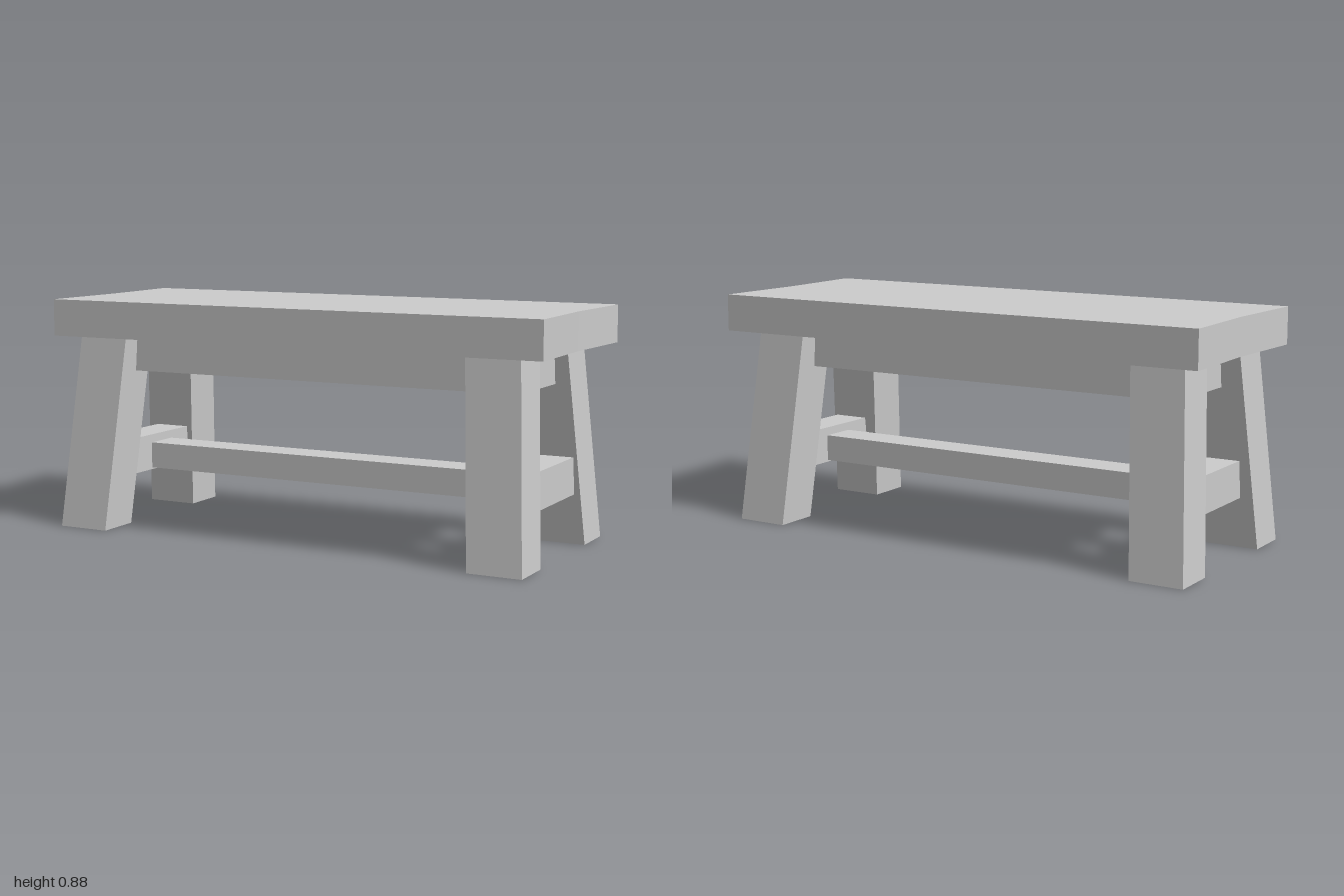
import * as THREE from 'three';

const material = new THREE.MeshStandardMaterial({ color: 0xcccccc, flatShading: true });

function addMesh(group, name, geometry) {
  const mesh = new THREE.Mesh(geometry, material);
  mesh.name = name;
  group.add(mesh);
  return mesh;
}

// Box given by its lower and upper bounds on each axis
function addBox(group, name, [x0, x1], [y0, y1], [z0, z1]) {
  const geometry = new THREE.BoxGeometry(x1 - x0, y1 - y0, z1 - z0);
  geometry.translate((x0 + x1) / 2, (y0 + y1) / 2, (z0 + z1) / 2);
  return addMesh(group, name, geometry);
}

const SEAT_BOTTOM = 0.74;
const SEAT_TOP = 0.88;

// Plank whose two ends are notched slightly inward at the middle
function seatGeometry() {
  const outline = [[-1, -0.38], [1, -0.38], [0.985, 0], [1, 0.38], [-1, 0.38], [-0.985, 0]];
  const shape = new THREE.Shape(outline.map(([x, z]) => new THREE.Vector2(x, z)));
  const geometry = new THREE.ExtrudeGeometry(shape, { depth: SEAT_TOP - SEAT_BOTTOM, bevelEnabled: false });
  geometry.rotateX(-Math.PI / 2);
  geometry.translate(0, SEAT_BOTTOM, 0);
  return geometry;
}

// Square leg sheared inward towards the seat, with level ends
function legGeometry(footX, sideX, sideZ) {
  const geometry = new THREE.BoxGeometry(0.205, SEAT_BOTTOM, 0.174);
  geometry.translate(footX, SEAT_BOTTOM / 2, sideZ * 0.312);
  const p = geometry.attributes.position;
  for (let i = 0; i < p.count; i++) {
    const t = p.getY(i) / SEAT_BOTTOM;
    p.setX(i, p.getX(i) - sideX * 0.05 * t);
    p.setZ(i, p.getZ(i) - sideZ * 0.088 * t);
  }
  geometry.computeVertexNormals();
  return geometry;
}

export function createModel() {
  const bench = new THREE.Group();
  bench.name = 'bench';

  addMesh(bench, 'seat', seatGeometry());

  // Four splayed legs, the pairs set a little off centre
  for (const [sideX, footX, nameX] of [[1, 0.842, 'Left'], [-1, -0.868, 'Right']]) {
    for (const [sideZ, nameZ] of [[1, 'front'], [-1, 'back']]) {
      addMesh(bench, `${nameZ}${nameX}Leg`, legGeometry(footX, sideX, sideZ));
    }
  }

  // Cross pieces joining the legs at each end
  for (const [s, side] of [[1, 'left'], [-1, 'right']]) {
    const span = (a, b) => (s > 0 ? [a, b] : [-b, -a]);
    addBox(bench, `${side}EndRail`, span(0.71, 0.845), [0.6, SEAT_BOTTOM], [-0.18, 0.18]);
    addBox(bench, `${side}EndStretcher`, span(0.767, 0.908), [0.19, 0.33], [-0.22, 0.22]);
  }

  // Long rails under the seat
  addBox(bench, 'frontRail', [-0.77, 0.77], [0.605, SEAT_BOTTOM], [0.156, 0.234]);
  addBox(bench, 'backRail', [-0.77, 0.77], [0.605, SEAT_BOTTOM], [-0.234, -0.156]);

  // Central stretcher between the two end stretchers
  addBox(bench, 'longStretcher', [-0.78, 0.78], [0.197, 0.298], [-0.07, 0.07]);

  return bench;
}
